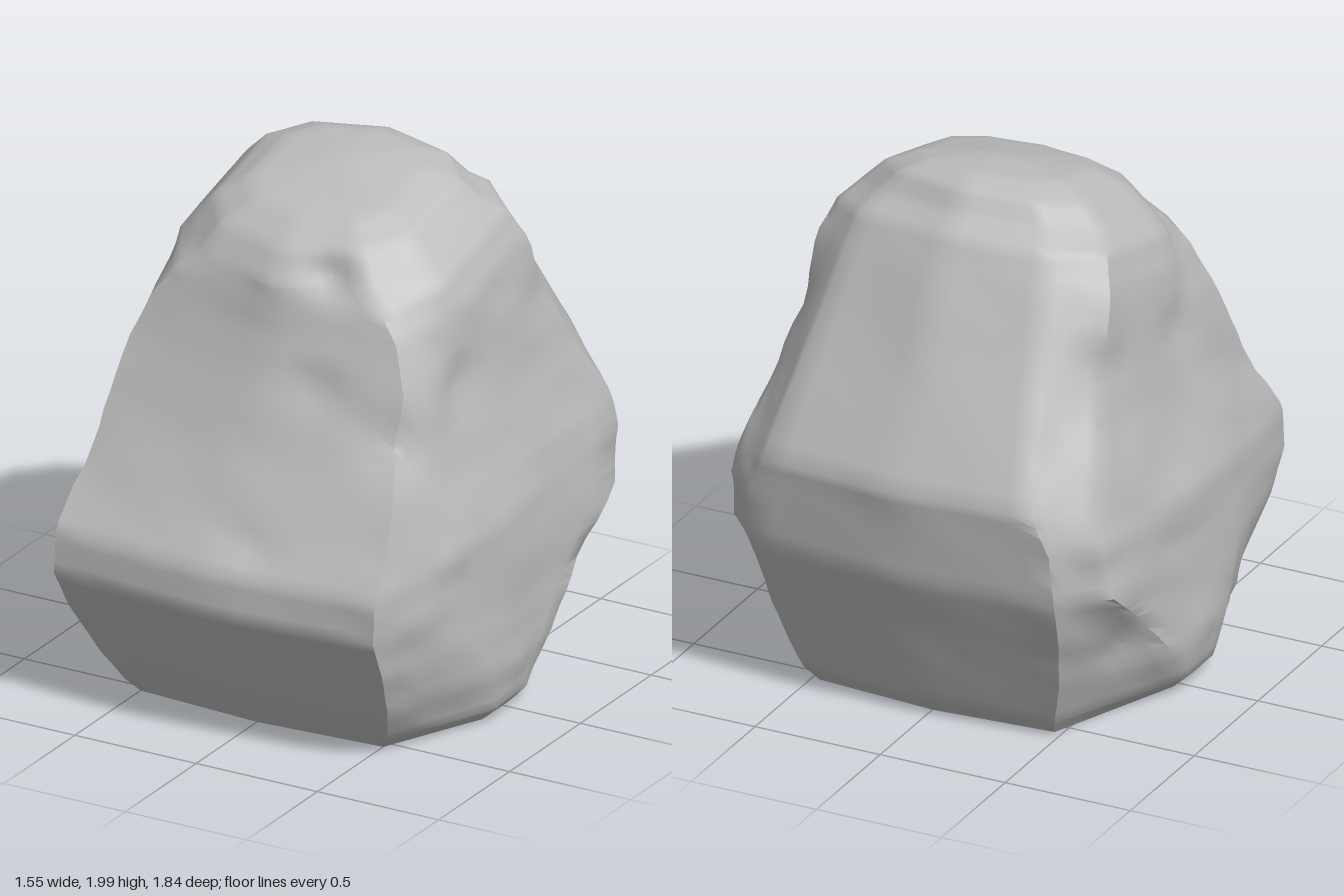
import * as THREE from 'three';
import { toCreasedNormals } from 'three/addons/utils/BufferGeometryUtils.js';

// Tilted cross-sections: yFront, yBack, zFront, zBack,
// half widths at front corner, side, back corner, then side depth fractions and corner fraction
const SECTIONS = [
  [0.00, 0.00, 0.57, -0.59, 0.50, 0.68, 0.47, 0.25, 0.05, 0.94],
  [0.05, 0.07, 0.61, -0.65, 0.54, 0.74, 0.50, 0.25, 0.12, 0.94],
  [0.20, 0.25, 0.72, -0.72, 0.60, 0.770, 0.55, 0.30, 0.30, 0.94],
  [0.40, 0.45, 0.83, -0.80, 0.64, 0.755, 0.59, 0.35, 0.52, 0.95],
  [0.55, 0.65, 0.92, -0.88, 0.655, 0.750, 0.61, 0.35, 0.74, 0.95],
  [0.70, 0.85, 0.91, -0.90, 0.655, 0.745, 0.60, 0.30, 0.79, 0.95],
  [0.85, 1.00, 0.80, -0.92, 0.64, 0.705, 0.54, 0.30, 0.76, 0.95],
  [1.10, 1.25, 0.66, -0.79, 0.60, 0.635, 0.49, 0.30, 0.70, 0.93],
  [1.35, 1.50, 0.55, -0.66, 0.56, 0.610, 0.44, 0.30, 0.65, 0.90],
  [1.50, 1.72, 0.50, -0.55, 0.50, 0.580, 0.40, 0.35, 0.62, 0.88],
  [1.60, 1.83, 0.48, -0.49, 0.42, 0.540, 0.38, 0.42, 0.58, 0.86],
  [1.66, 1.89, 0.47, -0.41, 0.34, 0.480, 0.34, 0.45, 0.50, 0.83],
  [1.77, 1.96, 0.40, -0.36, 0.28, 0.400, 0.28, 0.45, 0.50, 0.83],
  [1.86, 1.99, 0.28, -0.27, 0.20, 0.290, 0.20, 0.45, 0.50, 0.83],
  [1.92, 1.98, 0.10, -0.10, 0.07, 0.100, 0.07, 0.45, 0.50, 0.83],
];

// Local chips: x, y, z, radius, depth
const CHIPS = [
  [0.14, 0.80, 0.84, 0.07, 0.04], [0.56, 1.18, 0.58, 0.12, 0.06],
  [0.24, 1.32, 0.56, 0.09, 0.04], [0.22, 1.70, 0.43, 0.10, 0.06],
  [-0.63, 1.32, 0.15, 0.12, 0.04], [-0.62, 1.38, -0.42, 0.12, 0.04],
  [0.62, 1.42, -0.42, 0.12, 0.05], [0.62, 1.30, 0.15, 0.12, 0.04],
  [-0.70, 0.35, -0.45, 0.13, 0.04], [0.70, 0.35, -0.45, 0.13, 0.04],
];

const lerp = THREE.MathUtils.lerp;
const smooth = (t) => t * t * (3 - 2 * t);

function hash(x, y, z) {
  const s = Math.sin(x * 127.1 + y * 311.7 + z * 74.7) * 43758.5453;
  return s - Math.floor(s);
}

// Smoothly interpolated lattice noise in -1..1
function noise(x, y, z) {
  const i = Math.floor(x), j = Math.floor(y), k = Math.floor(z);
  const u = smooth(x - i), v = smooth(y - j), w = smooth(z - k);
  const plane = (c) => lerp(
    lerp(hash(i, j, c), hash(i + 1, j, c), u),
    lerp(hash(i, j + 1, c), hash(i + 1, j + 1, c), u), v);
  return lerp(plane(k), plane(k + 1), w) * 2 - 1;
}

// Ten-cornered outline subdivided along its edges, from front centre towards +x
function outline([yF, yB, zF, zB, xF, xS, xB, sF, sB, c], steps) {
  const half = [[0, zF], [xF, zF * c], [xS, zF * sF], [xS, zB * sB], [xB, zB * c], [0, zB]];
  const corners = [...half, ...half.slice(1, -1).reverse().map(([x, z]) => [-x, z])];
  const points = [];
  corners.forEach(([x, z], i) => {
    const [nx, nz] = corners[(i + 1) % corners.length];
    for (let s = 0; s < steps; s++) {
      const pz = lerp(z, nz, s / steps);
      const y = lerp(yB, yF, (pz - zB) / (zF - zB));
      points.push(new THREE.Vector3(lerp(x, nx, s / steps), y, pz));
    }
  });
  return points;
}

// Broken texture on the sides, gentle undulation elsewhere, plus the chips
function weather(p) {
  const flank = THREE.MathUtils.smoothstep(Math.abs(p.x), 0.45, 0.65);
  const fade = THREE.MathUtils.smoothstep(p.y, 0, 0.12);
  const n = noise(p.x * 4 + 9, p.y * 5, p.z * 5) + 0.5 * noise(p.x * 9, p.y * 11 + 4, p.z * 11);
  const out = new THREE.Vector3(p.x, 0, p.z).normalize();
  let push = n * fade * lerp(0.005, 0.017, flank);
  for (const [x, y, z, r, d] of CHIPS) {
    const q = ((p.x - x) ** 2 + (p.y - y) ** 2 + (p.z - z) ** 2) / (r * r);
    push -= d * Math.exp(-q * 1.5);
  }
  return p.clone().addScaledVector(out, push);
}

function boulderGeometry() {
  const steps = 6, between = 4, rings = [];
  SECTIONS.forEach((row, i) => {
    const next = SECTIONS[i + 1];
    const count = next ? between : 1;
    for (let s = 0; s < count; s++) {
      const mix = next ? row.map((v, k) => lerp(v, next[k], s / between)) : row;
      rings.push(outline(mix, steps).map(weather));
    }
  });
  const n = rings[0].length;
  const vertices = rings.flat();
  const index = [];
  for (let r = 0; r < rings.length - 1; r++) {
    for (let i = 0; i < n; i++) {
      const a = r * n + i, b = r * n + (i + 1) % n;
      index.push(a, b, a + n, b, b + n, a + n);
    }
  }
  // Close the base and the crown
  const base = vertices.push(new THREE.Vector3(0, 0, 0)) - 1;
  const crown = vertices.push(new THREE.Vector3(0, 1.955, 0)) - 1;
  const last = (rings.length - 1) * n;
  for (let i = 0; i < n; i++) {
    const j = (i + 1) % n;
    index.push(base, j, i, crown, last + i, last + j);
  }
  const geometry = new THREE.BufferGeometry().setFromPoints(vertices);
  geometry.setIndex(index);
  return toCreasedNormals(geometry, 0.8);
}

export function createModel() {
  const stone = new THREE.MeshStandardMaterial({ color: 0xbcbcbc });
  stone.name = 'grey stone';
  const boulder = new THREE.Mesh(boulderGeometry(), stone);
  boulder.name = 'boulder';
  const group = new THREE.Group();
  group.name = 'rock';
  group.add(boulder);
  return group;
}
